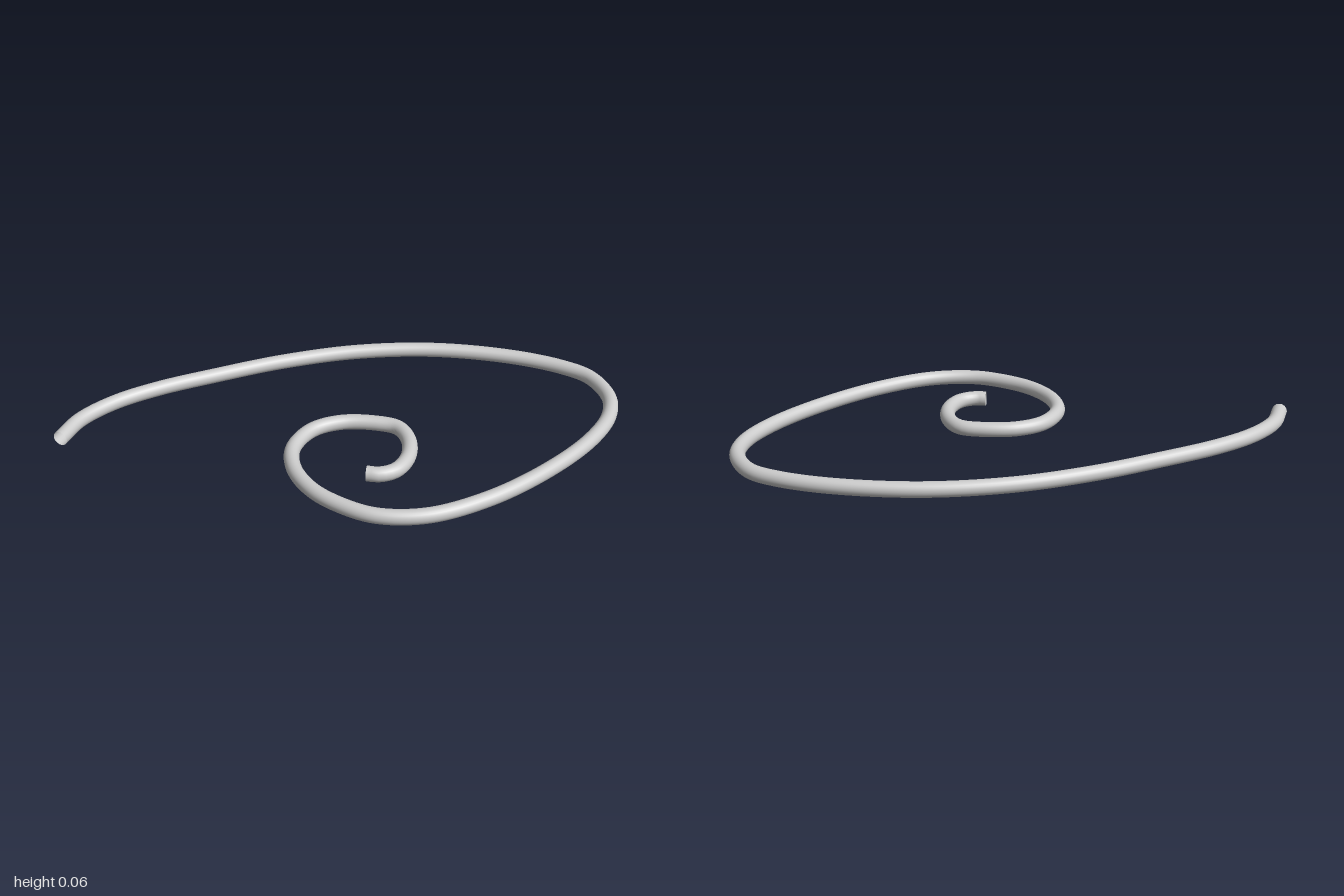
import * as THREE from 'three';

const RADIUS = 0.031;

// Centre line of the scroll seen from above (x, z), from the outer tip inwards
const PATH = [
  [-0.983, -0.672], [-0.85, -0.735], [-0.675, -0.752], [-0.48, -0.722], [-0.24, -0.65],
  [0.055, -0.547], [0.35, -0.4], [0.615, -0.195], [0.83, 0.065], [0.938, 0.27],
  [0.966, 0.4], [0.912, 0.555], [0.805, 0.65], [0.615, 0.717], [0.325, 0.746],
  [0.03, 0.725], [-0.21, 0.65], [-0.355, 0.525], [-0.418, 0.375], [-0.434, 0.24],
  [-0.4, 0.095], [-0.315, -0.015], [-0.175, -0.063], [-0.05, -0.025], [0.05, 0.07],
  [0.094, 0.15], [0.067, 0.245], [-0.015, 0.33], [-0.11, 0.362], [-0.175, 0.34],
  [-0.207, 0.303],
];

export function createModel() {
  const group = new THREE.Group();
  group.name = 'scroll';

  // Round bar bent into a flat spiral, open at both ends
  const curve = new THREE.CatmullRomCurve3(
    PATH.map(([x, z]) => new THREE.Vector3(x, RADIUS, z)),
    false,
    'centripetal'
  );
  const bar = new THREE.Mesh(
    new THREE.TubeGeometry(curve, 240, RADIUS, 24, false),
    new THREE.MeshStandardMaterial({ color: 0xcccccc, side: THREE.DoubleSide })
  );
  bar.name = 'spiralBar';
  group.add(bar);
  return group;
}
